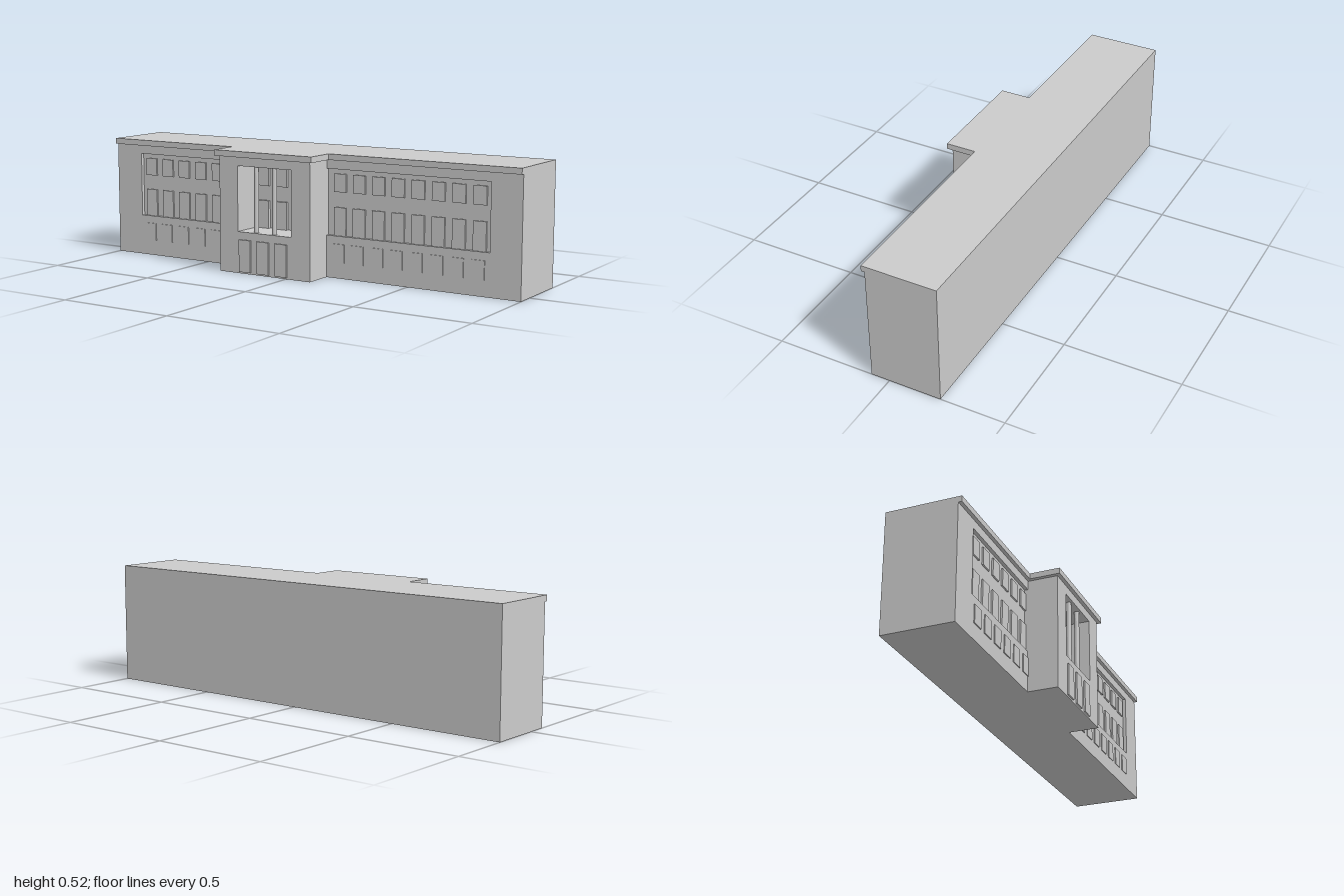
import * as THREE from 'three';

export function createModel() {
  const building = new THREE.Group();
  building.name = 'building';
  const material = new THREE.MeshStandardMaterial({ color: 0xcccccc, flatShading: true });

  const add = (name, geometry) => {
    const mesh = new THREE.Mesh(geometry, material);
    mesh.name = name;
    building.add(mesh);
    return mesh;
  };
  // Box given by its limits on each axis
  const box = (name, [x0, x1], [y0, y1], [z0, z1]) =>
    add(name, new THREE.BoxGeometry(x1 - x0, y1 - y0, z1 - z0))
      .position.set((x0 + x1) / 2, (y0 + y1) / 2, (z0 + z1) / 2);
  // Upright wall cut from a front outline
  const wall = (name, shape, z0, z1) =>
    add(name, new THREE.ExtrudeGeometry(shape, { depth: z1 - z0, bevelEnabled: false }))
      .position.z = z0;
  const outline = (points) => new THREE.Shape(points.map(([x, y]) => new THREE.Vector2(x, y)));

  const back = -0.225, inner = 0.065, front = 0.08, porchFront = 0.21;
  const eaves = 0.495, top = 0.52;
  const sill = 0.178, lintel = 0.457;
  const porchLeft = 0.118, porchRight = -0.335;

  // Main block and roof slabs
  box('mainBlock', [-1, 1], [0, eaves], [back, inner]);
  box('mainRoof', [-1, 1], [eaves, top], [back, 0.095]);
  box('porchRoof', [-0.352, 0.135], [eaves, top], [0.095, 0.226]);

  // Wing walls, each with a shallow recess open toward the porch
  for (const [side, end] of [[1, porchLeft], [-1, porchRight]]) {
    wall(side > 0 ? 'leftWingWall' : 'rightWingWall', outline([
      [end, 0], [side, 0], [side, eaves], [end, eaves],
      [end, lintel], [side * 0.865, lintel], [side * 0.865, sill], [end, sill],
    ]), inner, front);
  }

  // Projecting porch with the loggia opening
  const porch = outline([[porchRight, 0], [porchLeft, 0], [porchLeft, eaves], [porchRight, eaves]]);
  porch.holes.push(outline([[-0.242, sill], [-0.242, lintel], [0.027, lintel], [0.027, sill]]));
  wall('porch', porch, inner, porchFront);

  // Loggia columns
  for (const x of [-0.16, -0.069]) {
    add('loggiaColumn', new THREE.CylinderGeometry(0.0105, 0.0105, lintel - sill, 16))
      .position.set(x, (sill + lintel) / 2, 0.19);
  }

  // Windows: raised panels in three storeys
  const half = 0.029, pitch = 0.0912;
  const panel = (name, x, y, z) => box(name, [x - half, x + half], y, z);
  const upperWindows = (x, proud) => {
    panel('upperWindow', x, [0.361, 0.437], [inner, inner + proud]);
    panel('middleWindow', x, [sill, 0.297], [inner, inner + proud]);
  };
  for (const [side, count] of [[1, 8], [-1, 6]]) {
    for (let i = 0; i < count; i++) {
      const x = side * (0.815 - i * pitch);
      upperWindows(x, 0.007);
      panel('groundWindow', x, [0.067, 0.145], [front, front + 0.004]);
    }
  }

  // Loggia windows with the entrance doors below
  for (let i = 0; i < 3; i++) {
    const x = -0.205 + i * pitch;
    upperWindows(x, 0.012);
    panel('entranceDoor', x, [0.007, 0.145], [porchFront, porchFront + 0.007]);
  }
  return building;
}
